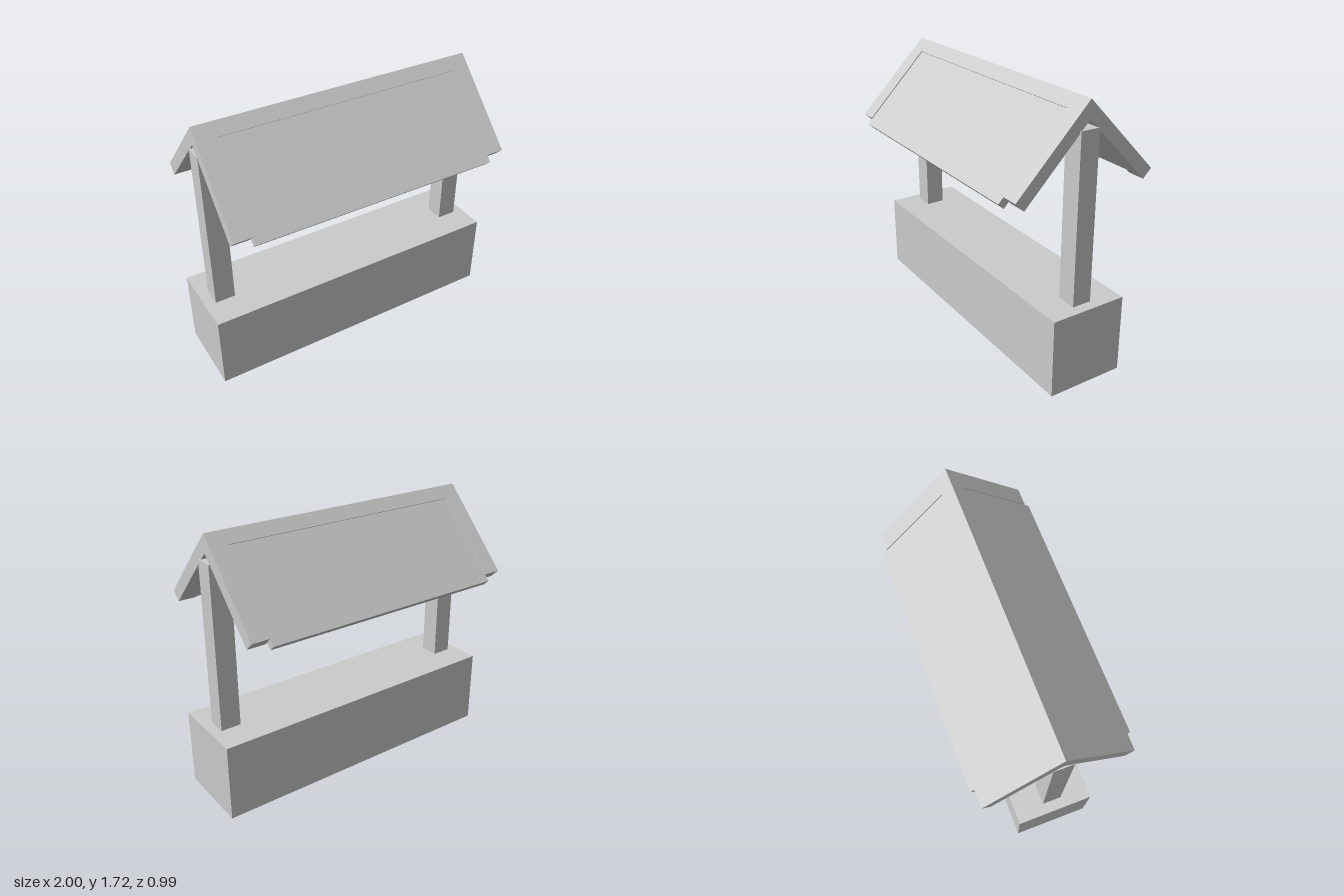
import * as THREE from 'three';

const material = new THREE.MeshStandardMaterial({ color: 0xcccccc, flatShading: true });
const APEX = 1.718;
const PITCH = THREE.MathUtils.degToRad(45.7);

function box(name, w, h, d, x, y, z) {
  const mesh = new THREE.Mesh(new THREE.BoxGeometry(w, h, d), material);
  mesh.name = name;
  mesh.position.set(x, y, z);
  return mesh;
}

// Point on a roof slope: d runs down from the apex, n goes in under the surface.
function slope(side, d, n) {
  const z = d * Math.cos(PITCH) - n * Math.sin(PITCH);
  const y = APEX - d * Math.sin(PITCH) - n * Math.cos(PITCH);
  return new THREE.Vector2(-side * z, y);
}

// Extrudes a z-y outline along x, from x0 to x1.
function prism(name, points, x0, x1) {
  const geometry = new THREE.ExtrudeGeometry(new THREE.Shape(points), { depth: x1 - x0, bevelEnabled: false });
  geometry.rotateY(Math.PI / 2).translate(x0, 0, 0);
  const mesh = new THREE.Mesh(geometry, material);
  mesh.name = name;
  return mesh;
}

function slab(name, side, d0, d1, n0, n1, x0, x1) {
  const points = [slope(side, d0, n0), slope(side, d1, n0), slope(side, d1, n1), slope(side, d0, n1)];
  return prism(name, points, x0, x1);
}

export function createModel() {
  const model = new THREE.Group();
  model.name = 'roofedTrough';

  // Solid base
  model.add(box('base', 2, 0.5, 0.5, 0, 0.25, 0));

  // Two upright posts
  for (const side of [-1, 1]) {
    const name = side > 0 ? 'leftPost' : 'rightPost';
    model.add(box(name, 0.13, 1.055, 0.124, side * 0.867, 1.0275, 0.002));
  }

  const roof = new THREE.Group();
  roof.name = 'roof';
  roof.position.set(-0.004, 0, -0.002);
  model.add(roof);

  // Ridge cap, a chevron over the full length
  const under = 0.08 * Math.tan(PITCH);
  roof.add(prism('ridgeCap', [
    slope(1, 0, 0), slope(1, 0.095, 0), slope(1, 0.095, 0.08), slope(1, under, 0.08),
    slope(-1, 0.095, 0.08), slope(-1, 0.095, 0),
  ], -0.925, 0.925));

  // Each slope: a thin panel between two thicker end rafters
  for (const side of [-1, 1]) {
    const end = side > 0 ? 'front' : 'back';
    roof.add(slab(end + 'Panel', side, 0.095, 0.717, 0.006, 0.054, -0.81, 0.81));
    roof.add(slab(end + 'RightRafter', side, 0.095, 0.671, 0, 0.078, -0.925, -0.81));
    roof.add(slab(end + 'LeftRafter', side, 0.095, 0.671, 0, 0.078, 0.81, 0.925));
  }
  return model;
}
